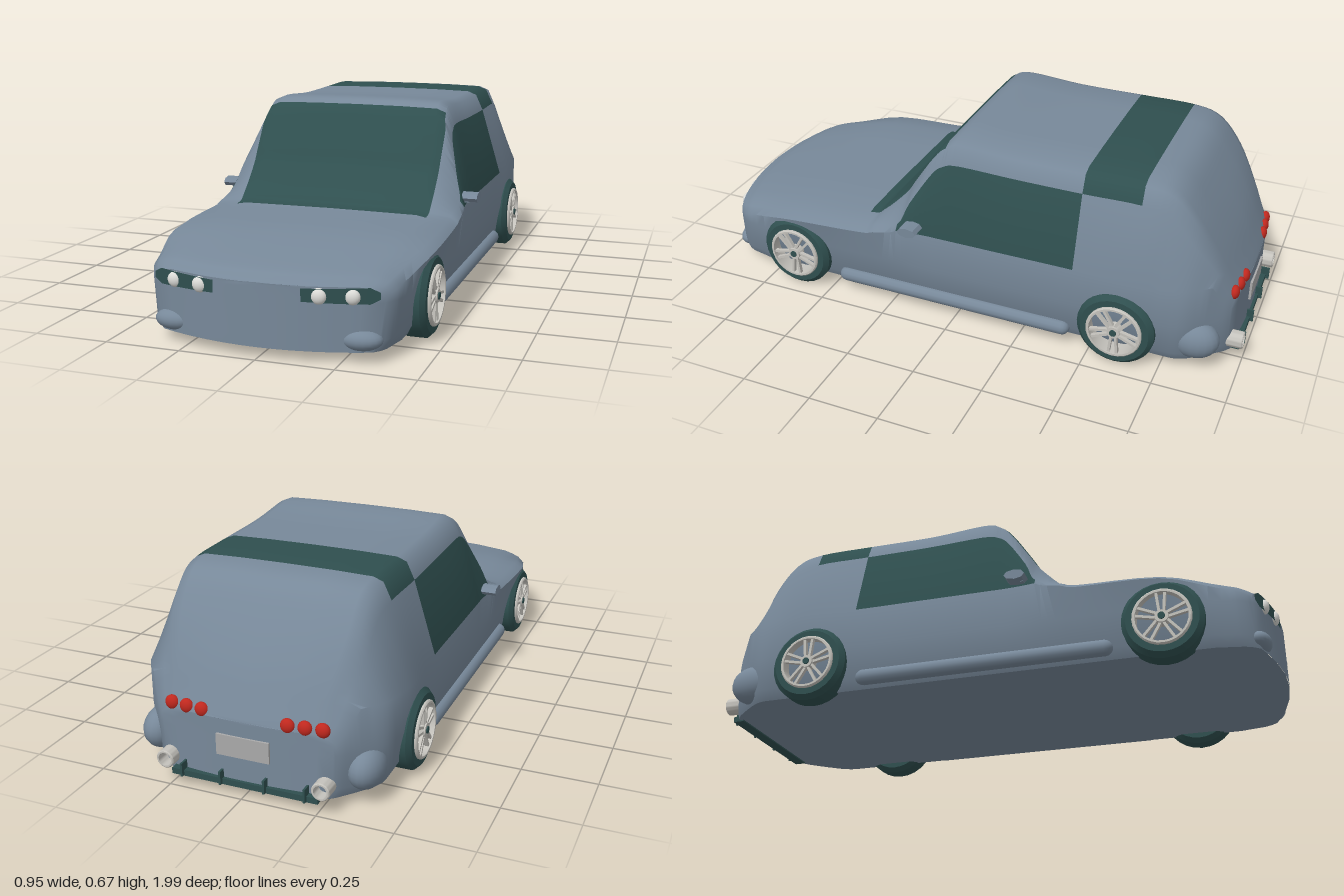
import * as THREE from 'three';
import { toCreasedNormals } from 'three/addons/utils/BufferGeometryUtils.js';

const mat = (name, color) => {
  const m = new THREE.MeshStandardMaterial({ color });
  m.name = name;
  return m;
};

// Hull stations, front to back: z, belt half-width, window top x and y, crown y
const STATIONS = [
  [0.985, 0.37, 0.36, 0.225, 0.24],
  [0.96, 0.395, 0.37, 0.24, 0.252],
  [0.9, 0.41, 0.385, 0.255, 0.272],
  [0.63, 0.45, 0.42, 0.3, 0.316],
  [0.36, 0.445, 0.42, 0.312, 0.328],
  [0.3, 0.445, 0.42, 0.325, 0.355],
  [0.21, 0.44, 0.425, 0.35, 0.445],
  [0.17, 0.435, 0.402, 0.43, 0.505],
  [0.1, 0.43, 0.368, 0.54, 0.61],
  [0.06, 0.43, 0.36, 0.575, 0.65],
  [0, 0.43, 0.357, 0.588, 0.67],
  [-0.2, 0.43, 0.355, 0.582, 0.657],
  [-0.44, 0.43, 0.355, 0.58, 0.656],
  [-0.64, 0.44, 0.352, 0.58, 0.655],
  [-0.74, 0.43, 0.345, 0.55, 0.628],
  [-0.82, 0.41, 0.34, 0.46, 0.535],
  [-0.9, 0.365, 0.315, 0.375, 0.412],
  [-0.955, 0.32, 0.29, 0.28, 0.3],
  [-0.975, 0.29, 0.26, 0.242, 0.256],
];
const STEPS = 4;

// Bow the nose and tail in plan
const bow = (x, z) => z - 0.56 * x * x * THREE.MathUtils.smoothstep(z, 0.6, 0.98)
  + 0.25 * x * x * THREE.MathUtils.smoothstep(-z, 0.8, 0.97);

// Half cross-section from floor centre, round sill, belt and window, to roof centre
function halfRing([, xb, xw, yw, yt]) {
  const floor = 0.04, sill = Math.min(xb - 0.01, 0.41), x0 = sill - 0.02;
  const yb = Math.min(0.33, yw - 0.02);
  const xr = Math.min(xw - 0.027, 0.345), yr = yt * 0.973;
  return [[0, floor], [x0 / 3, floor], [x0 * 2 / 3, floor], [x0, floor], [sill, 0.075],
    [Math.min(xb, 0.43), 0.19], [xb, yb], [xw, yw], [xr, yr],
    [xr * 0.9, yr + (yt - yr) * 0.75], [xr * 0.5, yt - 0.001], [0, yt]];
}

function catmull(rows, i, t) {
  const at = k => rows[THREE.MathUtils.clamp(k, 0, rows.length - 1)];
  const [a, b, c, d] = [at(i - 1), at(i), at(i + 1), at(i + 2)];
  return b.map((v, k) => v + 0.5 * t * (c[k] - a[k] + t * (2 * a[k] - 5 * v + 4 * c[k] - d[k]
    + t * (3 * (v - c[k]) + d[k] - a[k]))));
}

function hullGeometry() {
  const rows = [];
  for (let i = 0; i < STATIONS.length - 1; i++)
    for (let s = 0; s < STEPS; s++) rows.push(catmull(STATIONS, i, s / STEPS));
  rows.push(STATIONS[STATIONS.length - 1]);
  const rings = rows.map(halfRing), n = rings[0].length;
  const pos = [], paint = [], glass = [];
  const quad = (list, a, b, c, d, flip) =>
    list.push(...(flip ? [a, c, b, a, d, c] : [a, b, c, a, c, d]));

  // Mirrored side skins, with glazed patches
  for (const s of [1, -1]) {
    const start = pos.length / 3;
    rings.forEach((r, i) => r.forEach(([x, y]) => pos.push(s * x, y, bow(x, rows[i][0]))));
    for (let i = 0; i < rings.length - 1; i++) {
      const zm = (rows[i][0] + rows[i + 1][0]) / 2;
      for (let j = 0; j < n - 1; j++) {
        const a = start + i * n + j;
        const glazed = (j === 6 && zm < 0.21 && zm > -0.44)
          || (j >= 8 && zm < 0.36 && zm > 0.06)
          || (j >= 7 && zm < -0.44 && zm > -0.64);
        quad(glazed ? glass : paint, a, a + n, a + n + 1, a + 1, s < 0);
      }
    }
  }
  // Nose and tail faces
  const cols = 12;
  for (const i of [0, rings.length - 1]) {
    const start = pos.length / 3;
    const edge = rings[i].slice(3);
    for (const [x, y] of edge)
      for (let c = 0; c <= cols; c++) {
        const px = x * (c / cols * 2 - 1);
        pos.push(px, y, bow(px, rows[i][0]));
      }
    for (let j = 0; j < edge.length - 1; j++)
      for (let c = 0; c < cols; c++) {
        const a = start + j * (cols + 1) + c;
        quad(paint, a, a + 1, a + cols + 2, a + cols + 1, i > 0);
      }
  }
  const g = new THREE.BufferGeometry();
  g.setAttribute('position', new THREE.Float32BufferAttribute(pos, 3));
  g.setIndex([...paint, ...glass]);
  g.addGroup(0, paint.length, 0);
  g.addGroup(paint.length, glass.length, 1);
  return toCreasedNormals(g, 0.8);
}

// Lamp panel bent to follow the nose
function lampPanel(side) {
  const g = new THREE.PlaneGeometry(0.225, 0.05, 8, 1);
  const p = g.attributes.position;
  for (let i = 0; i < p.count; i++) {
    const x = side * 0.2525 + p.getX(i);
    const outer = Math.abs(x) > 0.36;
    const y = 0.213 + p.getY(i) * (outer ? 0.4 : 0.8 + 0.2 * (Math.abs(x) - 0.14) / 0.2);
    p.setXYZ(i, x, y, bow(x, 0.985) + 0.007);
  }
  g.computeVertexNormals();
  return g;
}

export function createModel() {
  const car = new THREE.Group();
  car.name = 'car';
  const paint = mat('bodyPaint', 0x778899);
  const dark = mat('darkGlassAndRubber', 0x2f4f4f);
  const metal = mat('lightMetal', 0xc4c2bc);
  const lamp = mat('lampWhite', 0xdcdcd8);
  const red = mat('tailRed', 0xc0281e);
  const plateGrey = mat('plateGrey', 0xa9a9a9);

  const add = (name, geo, material, x = 0, y = 0, z = 0, parent = car) => {
    const m = new THREE.Mesh(geo, material);
    m.name = name;
    m.position.set(x, y, z);
    parent.add(m);
    return m;
  };
  const box = (w, h, d) => new THREE.BoxGeometry(w, h, d);
  const ball = r => new THREE.SphereGeometry(r, 20, 14);
  // Hollow ring turned from inner/outer radius, half width and chamfer
  const ring = (inner, outer, half, chamfer) => toCreasedNormals(new THREE.LatheGeometry([
    [inner, -half], [outer - chamfer, -half], [outer, chamfer - half], [outer, half - chamfer],
    [outer - chamfer, half], [inner, half], [inner, -half],
  ].map(p => new THREE.Vector2(...p)), 28), 0.6);

  add('bodyShell', hullGeometry(), [paint, dark]);

  // Wheels: local y points outward
  const tyre = ring(0.095, 0.135, 0.045, 0.016);
  const rim = ring(0.086, 0.097, 0.042, 0.004);
  for (const s of [1, -1])
    for (const z of [0.63, -0.6]) {
      const wheel = new THREE.Group();
      wheel.name = z > 0 ? 'frontWheel' : 'rearWheel';
      wheel.position.set(s * 0.407, 0.14, z);
      wheel.rotation.z = -s * Math.PI / 2;
      car.add(wheel);
      add('tyre', tyre, dark, 0, 0, 0, wheel);
      add('rim', rim, metal, 0, 0.013, 0, wheel);
      add('hub', new THREE.CylinderGeometry(0.022, 0.026, 0.03, 16), metal, 0, 0.04, 0, wheel);
      add('hubCap', new THREE.CylinderGeometry(0.012, 0.012, 0.006, 12), dark, 0, 0.056, 0, wheel);
      for (let k = 0; k < 5; k++) {
        const spoke = new THREE.Group();
        spoke.name = 'spoke';
        spoke.rotation.y = k * Math.PI * 2 / 5;
        wheel.add(spoke);
        for (const e of [1, -1])
          add('spokeBar', box(0.075, 0.014, 0.009), metal, 0.052, 0.043, e * 0.011, spoke).rotation.y = -e * 0.1;
      }
    }

  for (const s of [1, -1]) {
    // Side skirts and bumper corners
    const skirt = add('sideSkirt', new THREE.CapsuleGeometry(0.027, 0.84, 4, 12), paint, s * 0.412, 0.075, 0.015);
    skirt.rotation.x = Math.PI / 2;
    add('rearBumperCorner', ball(1), paint, s * 0.355, 0.12, -0.85).scale.set(0.06, 0.07, 0.085);
    add('frontBumperCorner', ball(1), paint, s * 0.3, 0.075, 0.91).scale.set(0.07, 0.035, 0.045);

    // Door mirrors
    const housing = toCreasedNormals(new THREE.CylinderGeometry(0.018, 0.018, 0.055, 8), 0.6);
    const mirror = add('doorMirror', housing, paint, s * 0.45, 0.355, 0.15);
    mirror.rotation.z = Math.PI / 2;
    mirror.scale.z = 2;
    add('mirrorArm', box(0.05, 0.012, 0.03), paint, s * 0.425, 0.345, 0.16);

    // Headlights
    add('headlightPanel', lampPanel(s), dark);
    for (const x of [0.19, 0.285])
      add('headlight', ball(0.025), lamp, s * x, 0.21, bow(x, 0.985)).scale.z = 0.7;

    // Tail lights, exhausts and diffuser fins
    for (const x of [0.145, 0.2, 0.255])
      add('tailLight', ball(0.024), red, s * x, 0.267, bow(x, -0.965)).scale.z = 0.7;
    const pipe = add('exhaust', ring(0.022, 0.03, 0.04, 0.003), metal, s * 0.265, 0.088, -0.96);
    pipe.rotation.x = Math.PI / 2;
    for (const x of [0.075, 0.21])
      add('diffuserFin', box(0.007, 0.045, 0.05), dark, s * x, 0.06, -0.972);
  }
  add('diffuser', box(0.5, 0.02, 0.04), dark, 0, 0.045, -0.965);
  add('rearPlate', box(0.18, 0.07, 0.008), plateGrey, 0, 0.17, -0.977);

  return car;
}
